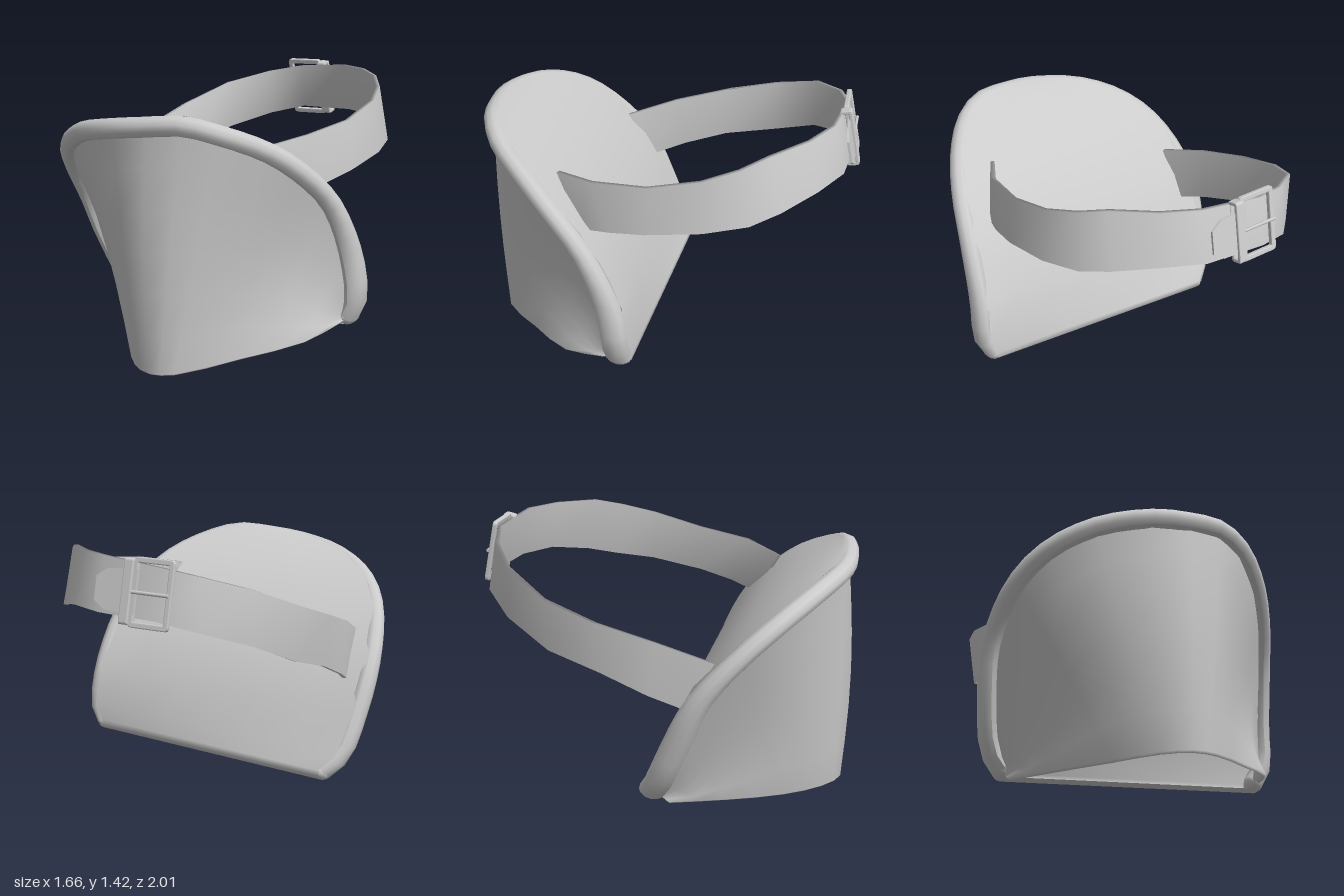
import * as THREE from 'three';

const material = new THREE.MeshStandardMaterial({ color: 0xcccccc, side: THREE.DoubleSide });
const V = (x, y, z) => new THREE.Vector3(x, y, z);

function part(name, geometry, parent) {
  const mesh = new THREE.Mesh(geometry, material);
  mesh.name = name;
  parent.add(mesh);
  return mesh;
}

// Surface through equally long rows of points
function loft(rows) {
  const n = rows[0].length, index = [];
  for (let i = 0; i < rows.length - 1; i++) {
    for (let j = 0; j < n - 1; j++) {
      const a = i * n + j, b = a + n;
      index.push(a, b, a + 1, b, b + 1, a + 1);
    }
  }
  const geometry = new THREE.BufferGeometry().setFromPoints(rows.flat());
  geometry.setIndex(index);
  geometry.computeVertexNormals();
  return geometry;
}

// Row of points from a to b
const span = (a, b, steps) =>
  Array.from({ length: steps + 1 }, (_, k) => a.clone().lerp(b, k / steps));

// The rim gets deeper from front to back towards the bottom
const depthAt = (y) => 1 + 0.45 * THREE.MathUtils.clamp((0.9 - y) / 0.35, 0, 1);
const onRim = (centre, offset) => centre.clone().add(V(offset.x, offset.y, offset.z * depthAt(centre.y)));

// Rounded rectangle outline for the buckle pieces
function roundedRect(path, w, h, r) {
  const x = w / 2, y = h / 2;
  path.moveTo(-x + r, -y).lineTo(x - r, -y).quadraticCurveTo(x, -y, x, -y + r);
  path.lineTo(x, y - r).quadraticCurveTo(x, y, x - r, y);
  path.lineTo(-x + r, y).quadraticCurveTo(-x, y, -x, y - r);
  path.lineTo(-x, -y + r).quadraticCurveTo(-x, -y, -x + r, -y);
  return path;
}

function frameGeometry(w, h, bar, depth) {
  const shape = roundedRect(new THREE.Shape(), w, h, bar);
  shape.holes.push(roundedRect(new THREE.Path(), w - 2 * bar, h - 2 * bar, bar * 0.4));
  const geometry = new THREE.ExtrudeGeometry(shape, {
    depth, bevelEnabled: true, bevelSize: 0.005, bevelThickness: 0.005, bevelSegments: 2, curveSegments: 5,
  });
  return geometry.translate(0, 0, -depth / 2);
}

export function createModel() {
  const model = new THREE.Group();
  const r = 0.052;

  // Arched rim, from the right bottom corner over the top to the left one
  const rim = [
    [-0.66, 0.14, 0.14], [-0.73, 0.22, 0.2], [-0.77, 0.45, 0.31], [-0.775, 0.71, 0.44],
    [-0.69, 0.95, 0.64], [-0.55, 1.09, 0.78], [-0.33, 1.19, 0.89], [-0.05, 1.245, 0.945],
    [0.16, 1.27, 0.915], [0.34, 1.285, 0.85], [0.48, 1.245, 0.75], [0.62, 1.15, 0.55],
    [0.7, 1.02, 0.37], [0.745, 0.85, 0.2], [0.77, 0.55, 0.055], [0.775, 0.32, 0.02], [0.73, 0.23, 0.02],
  ].map((p) => V(...p));
  const last = rim.length - 1, half = last / 2;
  const rimCurve = new THREE.CatmullRomCurve3(rim);
  const rimSteps = 40, rimSides = 10;
  const tube = new THREE.TubeGeometry(rimCurve, rimSteps, r, rimSides);
  const position = tube.attributes.position;
  for (let i = 0; i < position.count; i++) {
    const centre = rimCurve.getPointAt(Math.floor(i / (rimSides + 1)) / rimSteps);
    const p = onRim(centre, V(0, 0, 0).fromBufferAttribute(position, i).sub(centre));
    position.setXYZ(i, p.x, p.y, p.z);
  }
  tube.computeVertexNormals();
  part('rim', tube, model);
  for (const end of [rim[0], rim[last]]) {
    const cap = new THREE.SphereGeometry(r, 10, 8).scale(1, 1, depthAt(end.y));
    part('rimEnd', cap.translate(end.x, end.y, end.z), model);
  }

  // Curved back panel, ruled between the two sides of the rim, its lower edge rolled under
  const middle = (i) => rim[i].clone().lerp(rim[last - i], 0.5);
  const panelRows = [];
  const addRow = (i, offset) =>
    panelRows.push(span(onRim(rim[i], offset), onRim(rim[last - i], offset), 6));
  for (let i = 0; i <= half; i++) {
    const along = middle(Math.min(i + 1, half)).sub(middle(Math.max(i - 1, 0))).normalize();
    const side = Math.min(i, half - 1);
    const across = rim[last - side].clone().sub(rim[side]);
    const normal = along.clone().cross(across).normalize().multiplyScalar(r);
    if (i === 0) {
      for (const angle of [2.4, 1.8, 1.2, 0.6]) {
        addRow(0, normal.clone().multiplyScalar(Math.cos(angle)).addScaledVector(along, -r * Math.sin(angle)));
      }
    }
    addRow(i, normal);
  }
  part('backPanel', loft(panelRows), model);

  // Front wall: two layers from the rim down to a blunt V at the open bottom,
  // sagging inwards on both sides of a slightly bulging nose
  const bottom = new THREE.CatmullRomCurve3([
    [-0.64, 0.07, 0.22], [-0.43, 0.04, 0.47], [-0.2, 0.015, 0.71], [0.0, 0.01, 0.87],
    [0.15, 0.012, 0.92], [0.28, 0.025, 0.87], [0.5, 0.09, 0.61], [0.7, 0.155, 0.34], [0.75, 0.21, 0.1],
  ].map((p) => V(...p)));
  const steps = 6;
  const wallRows = rim.map((top, i) => {
    const turn = (2 * Math.PI * i) / last;
    const sag = 0.05 * Math.abs(Math.sin(turn)) - 0.035 * Math.max(0, -Math.cos(turn));
    const inward = (p) => V(0.08 - p.x, 0, 0.2 - p.z).normalize();
    const outer = span(top, bottom.getPoint(i / last), steps).map((p, k) =>
      p.addScaledVector(inward(p), sag * Math.sin((Math.PI * k) / steps)));
    const inner = outer.map((p) => p.clone().addScaledVector(inward(p), 0.03)).reverse();
    const fold = outer[steps].clone().lerp(inner[0], 0.5).add(V(0, -0.01, 0));
    return [...outer, fold, ...inner];
  });
  part('frontWall', loft(wallRows), model);

  // Strap stations: lower edge x, y, z and upper edge x, y, z
  const stations = [
    [-0.68, 0.62, 0.32, -0.65, 0.87, 0.47], [-0.74, 0.69, 0.15, -0.74, 0.97, 0.2],
    [-0.77, 0.79, -0.1, -0.81, 1.06, -0.1], [-0.77, 0.87, -0.38, -0.81, 1.15, -0.38],
    [-0.69, 0.99, -0.65, -0.7, 1.26, -0.64], [-0.52, 1.07, -0.85, -0.51, 1.33, -0.81],
    [-0.33, 1.12, -0.94, -0.33, 1.37, -0.89], [0, 1.13, -0.95, 0, 1.4, -0.89],
    [0.21, 1.13, -0.87, 0.19, 1.4, -0.81], [0.4, 1.09, -0.73, 0.38, 1.39, -0.66],
    [0.51, 1.05, -0.6, 0.49, 1.35, -0.54], [0.6, 1.02, -0.39, 0.575, 1.3, -0.37],
    [0.635, 0.97, -0.1, 0.61, 1.23, -0.1], [0.62, 0.93, 0.1, 0.59, 1.19, 0.2],
    [0.58, 0.89, 0.26, 0.48, 1.14, 0.43],
  ].map((s) => ({ low: V(s[0], s[1], s[2]), high: V(s[3], s[4], s[5]) }));
  const strapRows = stations.map(({ low, high }, i) => {
    const a = stations[Math.max(i - 1, 0)].high, b = stations[Math.min(i + 1, stations.length - 1)].high;
    const out = V(b.z - a.z, 0, a.x - b.x).normalize();
    const at = (p, offset) => p.clone().addScaledVector(out, offset);
    const t = 0.011;
    return [at(low, t), at(high, t), at(high, -t), at(low, -t), at(low, t)];
  });
  part('strap', loft(strapRows), model);

  // Buckle with prong, keeper loop and the strap tail that runs through them
  const buckle = new THREE.Group();
  buckle.name = 'buckle';
  buckle.position.set(-0.3, 1.245, -0.927);
  buckle.rotation.set(0.21, 0.14, 0);
  part('buckleFrame', frameGeometry(0.21, 0.33, 0.018, 0.015), buckle);
  const prong = part('buckleProng', new THREE.CylinderGeometry(0.009, 0.009, 0.2, 8), buckle);
  prong.rotation.z = Math.PI / 2;
  prong.position.z = -0.02;
  const keeper = part('keeperLoop', frameGeometry(0.055, 0.31, 0.01, 0.04), buckle);
  keeper.rotation.y = Math.PI / 2;
  keeper.position.x = 0.125;
  const tail = new THREE.Shape([
    [0.08, -0.11], [0.24, -0.1], [0.3, -0.06], [0.3, 0.06], [0.24, 0.1], [0.08, 0.11],
  ].map(([x, y]) => new THREE.Vector2(x, y)));
  part('strapTail', new THREE.ExtrudeGeometry(tail, { depth: 0.012, bevelEnabled: false }), buckle)
    .position.z = -0.018;
  model.add(buckle);

  return model;
}
